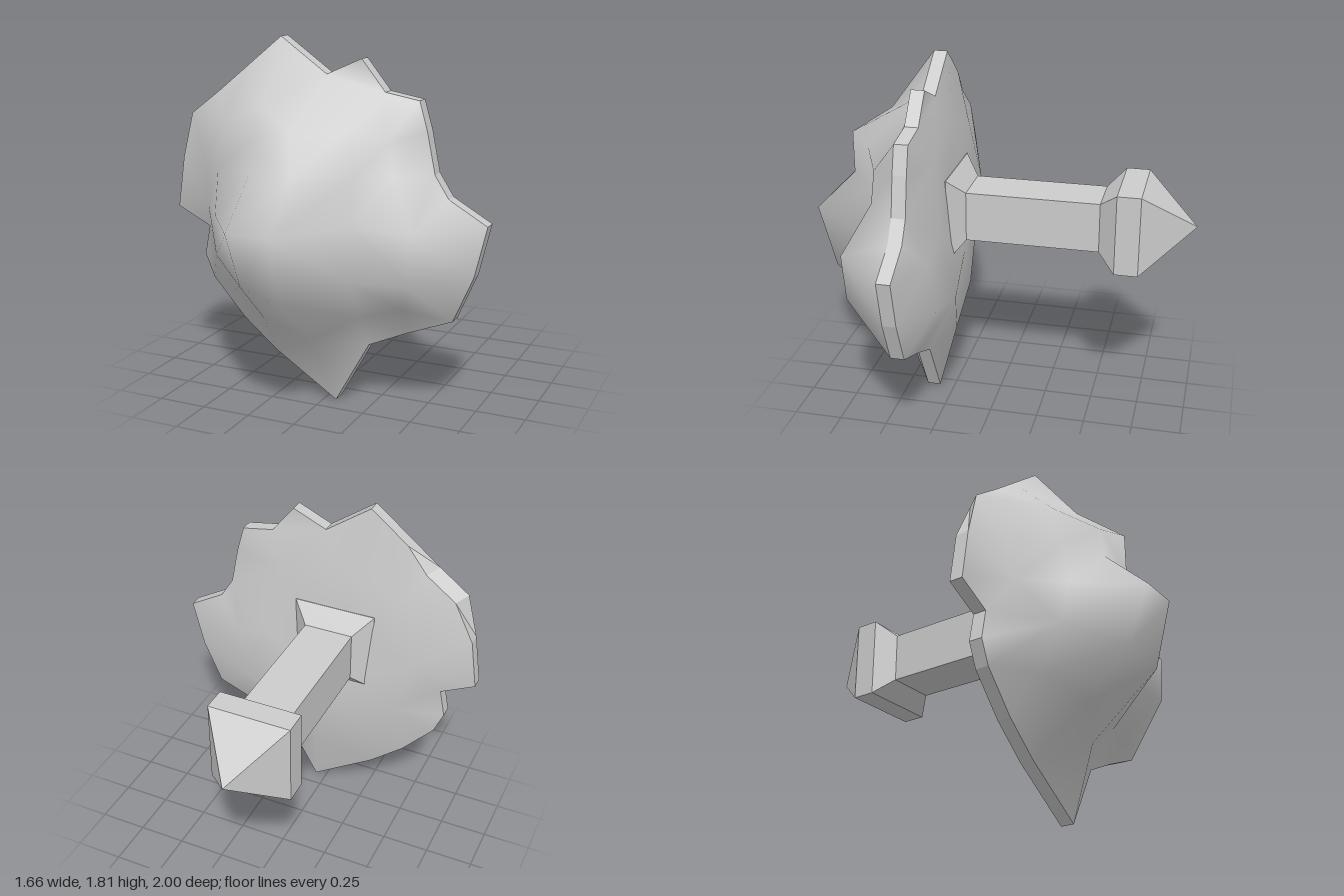
import * as THREE from 'three';

const FRONT_Z = 0.4, BACK_Z = 0.33;

// Jagged rim, counter-clockwise seen from the front
const outline = [
  [-0.22, 1.81], [0.02, 1.64], [0.2, 1.72], [0.32, 1.57], [0.49, 1.54], [0.53, 1.4],
  [0.57, 1.2], [0.64, 1.09], [0.83, 0.98], [0.77, 0.73], [0.67, 0.5], [0.44, 0.41],
  [0.24, 0.32], [0.06, 0], [-0.28, 0.22], [-0.46, 0.37], [-0.63, 0.56], [-0.68, 0.68],
  [-0.65, 0.83], [-0.83, 0.92], [-0.79, 1.18], [-0.73, 1.41], [-0.57, 1.53], [-0.42, 1.65],
].reverse();

// The upper corner overhangs the back edge a little
const backOutline = outline.map(([x, y]) =>
  (x < -0.5 && y > 1.3 ? [x + 0.045, y - 0.02] : [x, y]));

// Rocky relief points (x, y, z)
const frontRelief = [
  [-0.42, 1.42, 0.62], [-0.2, 1.5, 0.63], [-0.2, 1.36, 0.76], [0.01, 1.42, 0.78], [0.23, 1.42, 0.62], [0.39, 1.36, 0.54],
  [-0.6, 1.2, 0.5], [-0.42, 1.2, 0.68], [-0.2, 1.2, 0.78], [0.01, 1.2, 0.78], [0.24, 1.2, 0.6], [0.42, 1.2, 0.55],
  [-0.58, 0.98, 0.52], [-0.42, 0.98, 0.72], [-0.2, 0.98, 1], [0.01, 0.98, 1], [0.26, 0.98, 0.67], [0.56, 0.97, 0.67],
  [-0.45, 0.77, 0.67], [-0.2, 0.7, 0.88], [0.01, 0.65, 0.91], [0.26, 0.72, 0.67], [0.54, 0.73, 0.66],
  [-0.43, 0.56, 0.54], [-0.2, 0.48, 0.66], [0.01, 0.36, 0.55], [0.24, 0.5, 0.53], [0.45, 0.56, 0.5],
];
const backRelief = [
  [-0.42, 1.36, 0.27], [-0.1, 1.45, 0.27], [0.25, 1.4, 0.27], [-0.52, 1.02, 0.23], [-0.2, 1.21, 0.25],
  [0.1, 1.2, 0.25], [0.31, 1.0, 0.24], [0.5, 0.95, 0.25], [-0.4, 0.7, 0.24], [-0.1, 0.76, 0.22],
  [0.25, 0.65, 0.18], [0.45, 0.68, 0.22], [0.02, 0.35, 0.24], [-0.25, 0.5, 0.23],
];

function insidePolygon(x, y, poly) {
  let inside = false;
  poly.forEach(([ax, ay], i) => {
    const [bx, by] = poly[(i + 1) % poly.length];
    if ((ay > y) !== (by > y) && x < ax + ((bx - ax) * (y - ay)) / (by - ay)) inside = !inside;
  });
  return inside;
}

// Delaunay rule: keep each triangle whose circumcircle holds no other point
function triangulate(points, rim) {
  // tiny offsets avoid ties between evenly spaced points
  const p = points.map(([x, y], i) => [x + 1e-4 * Math.sin(i * 12.9), y + 1e-4 * Math.sin(i * 78.2)]);
  const index = [];
  for (let a = 0; a < p.length; a++) for (let b = a + 1; b < p.length; b++) for (let c = b + 1; c < p.length; c++) {
    const [ax, ay] = p[a];
    const bx = p[b][0] - ax, by = p[b][1] - ay, cx = p[c][0] - ax, cy = p[c][1] - ay;
    const d = 2 * (bx * cy - by * cx);
    if (Math.abs(d) < 1e-7) continue;
    const b2 = bx * bx + by * by, c2 = cx * cx + cy * cy;
    const ux = (cy * b2 - by * c2) / d, uy = (bx * c2 - cx * b2) / d;
    const r2 = ux * ux + uy * uy;
    const empty = p.every(([x, y], i) => i === a || i === b || i === c
      || (x - ax - ux) ** 2 + (y - ay - uy) ** 2 > r2);
    if (empty && insidePolygon(ax + (bx + cx) / 3, ay + (by + cy) / 3, rim)) {
      index.push(...(d > 0 ? [a, b, c] : [a, c, b]));
    }
  }
  return index;
}

// Smooth relief surface spanning a rim
function reliefGeometry(rim, z, relief, flip) {
  const points = [...rim.map(([x, y]) => [x, y, z]), ...relief];
  const index = triangulate(points, rim);
  const geometry = new THREE.BufferGeometry();
  geometry.setAttribute('position', new THREE.Float32BufferAttribute(points.flat(), 3));
  geometry.setIndex(flip ? index.reverse() : index);
  geometry.computeVertexNormals();
  return geometry;
}

// Thin wall joining the two faces
function rimGeometry() {
  const v = [];
  outline.forEach((f0, i) => {
    const j = (i + 1) % outline.length;
    const a = [...backOutline[i], BACK_Z], b = [...backOutline[j], BACK_Z];
    const c = [...outline[j], FRONT_Z], d = [...f0, FRONT_Z];
    v.push(...a, ...b, ...c, ...a, ...c, ...d);
  });
  const geometry = new THREE.BufferGeometry();
  geometry.setAttribute('position', new THREE.Float32BufferAttribute(v, 3));
  geometry.computeVertexNormals();
  return geometry;
}

// Square-section part along -z from [halfWidth, z] steps
function squareProfile(steps) {
  const profile = steps.map(([half, z]) => new THREE.Vector2(half * Math.SQRT2, -z));
  return new THREE.LatheGeometry(profile, 4, Math.PI / 4).rotateX(-Math.PI / 2).translate(-0.07, 1.02, 0);
}

export function createModel() {
  const group = new THREE.Group();
  const smooth = new THREE.MeshStandardMaterial({ color: 0xcccccc });
  const flat = new THREE.MeshStandardMaterial({ color: 0xcccccc, flatShading: true });
  const add = (name, geometry, material) => {
    const mesh = new THREE.Mesh(geometry, material);
    mesh.name = name;
    group.add(mesh);
  };

  // Rock head
  add('rockFront', reliefGeometry(outline, FRONT_Z, frontRelief, false), smooth);
  add('rockBack', reliefGeometry(backOutline, BACK_Z, backRelief, true), smooth);
  add('rockRim', rimGeometry(), flat);

  // Handle
  add('handleCollar', squareProfile([[0.22, 0.27], [0.22, 0.25], [0.13, 0.17]]), flat);
  add('handleShaft', squareProfile([[0.13, 0.17], [0.13, -0.52]]), flat);
  add('handlePommel', squareProfile([[0.13, -0.52], [0.21, -0.61], [0.21, -0.73], [0, -1]]), flat);
  return group;
}
